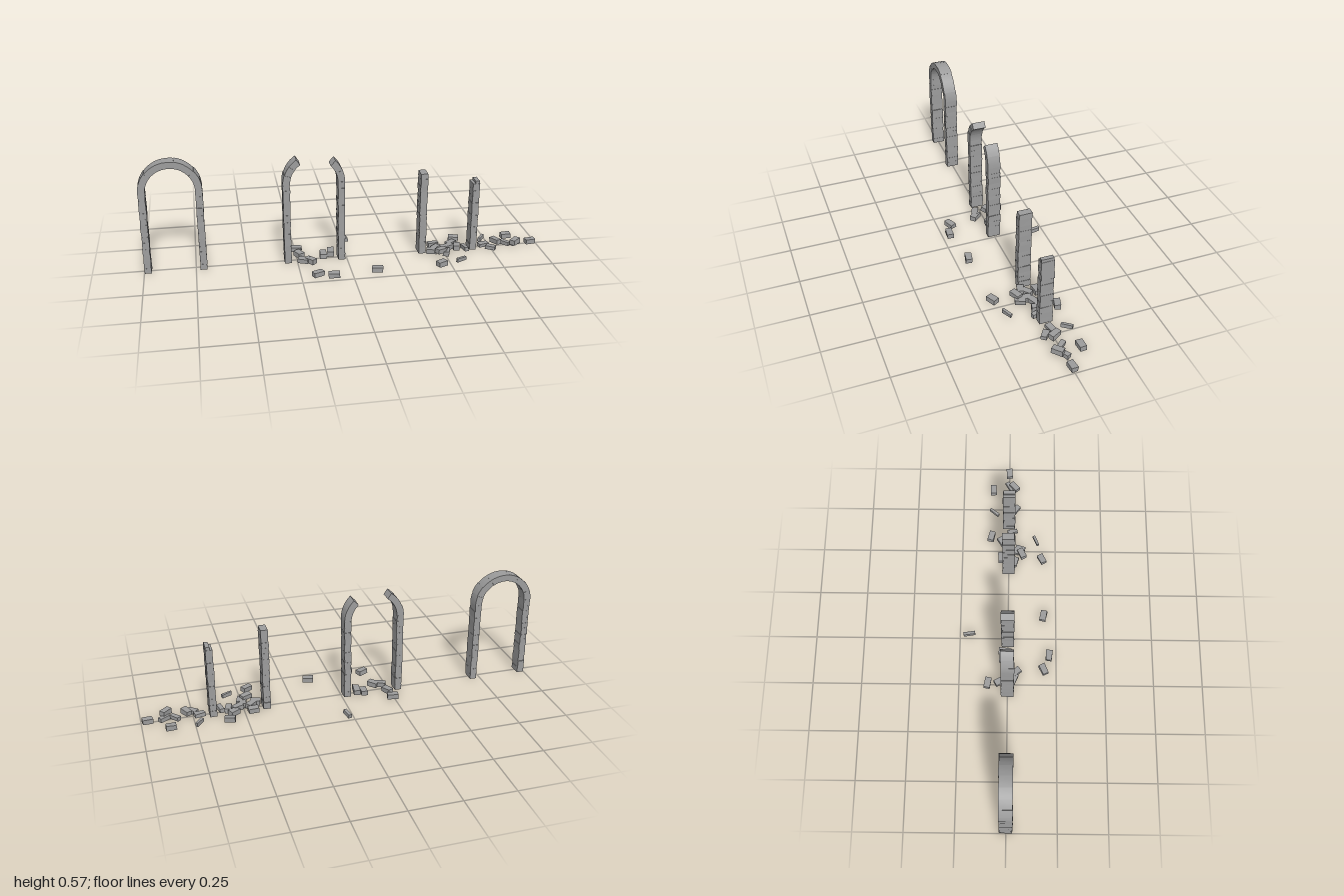
import * as THREE from 'three';
import { mergeGeometries } from 'three/addons/utils/BufferGeometryUtils.js';

const DEPTH = 0.064, SPRING = 0.42, OUTER = 0.152, INNER = 0.117;

// Small seeded random generator
function seeded(seed) {
  let s = seed;
  return () => (s = (s * 16807) % 2147483647) / 2147483647;
}

// Moves the vertices of a geometry by a rule
function warp(geo, rule) {
  const p = geo.attributes.position, v = new THREE.Vector3();
  for (let i = 0; i < p.count; i++) {
    rule(v.fromBufferAttribute(p, i));
    p.setXYZ(i, v.x, v.y, v.z);
  }
  geo.computeVertexNormals();
  return geo;
}

const keepAboveGround = v => { v.y = Math.max(v.y, 0); };

// Box whose eight corners are knocked slightly out of place
function roughBlock(w, h, d, rough, rand) {
  const offsets = Array.from({ length: 8 }, () =>
    new THREE.Vector3(rand() - 0.5, rand() - 0.5, rand() - 0.5).multiplyScalar(2 * rough));
  return warp(new THREE.BoxGeometry(w, h, d), v =>
    v.add(offsets[(v.x > 0 ? 1 : 0) + (v.y > 0 ? 2 : 0) + (v.z > 0 ? 4 : 0)]));
}

// Pier of stacked blocks with uneven courses
function pierGeometry(x, top, width, rand) {
  const courses = Math.round(top / 0.032), parts = [];
  let base = 0;
  for (let i = 1; i <= courses; i++) {
    const joint = i === courses ? top : (i + (rand() - 0.5) * 0.35) * top / courses;
    const block = roughBlock(width - 0.001, joint - base, DEPTH, 0.001, rand);
    block.translate(x + (rand() - 0.5) * 0.002, (base + joint) / 2, (rand() - 0.5) * 0.003 - 0.001);
    parts.push(warp(block, keepAboveGround));
    base = joint;
  }
  return mergeGeometries(parts);
}

// Curved run of wedge stones, from a larger to a smaller angle in degrees
function ringGeometry(cx, from, to, rand) {
  const count = Math.round((from - to) / 20), step = (to - from) / count, parts = [];
  for (let i = 0; i < count; i++) {
    const shift = (rand() - 0.5) * 0.004 - 0.001, swell = (rand() - 0.5) * 0.003;
    parts.push(warp(new THREE.BoxGeometry(1, 1, DEPTH, 3, 1, 1), v => {
      const t = THREE.MathUtils.degToRad(from + step * (i + 0.5 + v.x));
      const r = v.y > 0 ? OUTER + swell - 0.001 : INNER;
      v.set(cx + r * Math.cos(t), SPRING + r * Math.sin(t), v.z + shift);
    }));
  }
  return mergeGeometries(parts);
}

// Fallen stones by kind; each spot is x, z and turn in degrees
const middleRubble = [
  { size: [0.054, 0.025, 0.032], base: 0, spots: [
    [-0.243, -0.103, -10], [-0.235, -0.04, -62], [-0.22, 0.032, -25], [-0.185, 0.042, -48],
    [-0.168, 0.185, 25], [-0.093, 0.213, -5], [0.125, 0.184, -12], [-0.115, -0.016, 85]] },
  { size: [0.06, 0.02, 0.018], base: 0, spots: [[0.024, -0.202, -80]] },
  { size: [0.062, 0.026, 0.034], base: 0.012, spots: [[-0.078, -0.016, 82]] },
];
const rightRubble = [
  { size: [0.051, 0.026, 0.032], base: 0, spots: [
    [0.458, -0.04, 5], [0.435, 0.032, -15], [0.462, 0.008, 40], [0.498, 0.03, 75],
    [0.507, 0.06, 70], [0.452, 0.177, 28], [0.583, -0.095, -15], [0.553, -0.037, 30],
    [0.53, 0, 25], [0.575, 0.002, 75], [0.866, -0.088, 3], [0.969, 0, 5]] },
  { size: [0.052, 0.019, 0.03], base: 0, spots: [[0.718, -0.005, 12], [0.748, 0.035, -38]] },
  { size: [0.054, 0.022, 0.022], base: 0, spots: [
    [0.613, 0.018, -78], [0.835, -0.005, -50], [0.888, 0.002, 30]] },
  { size: [0.056, 0.02, 0.014], base: 0, spots: [[0.56, 0.145, 25], [0.73, -0.08, 52]] },
  { size: [0.054, 0.025, 0.03], base: 0.018, spots: [
    [0.475, 0.07, 25], [0.78, 0.003, -62], [0.878, 0.028, 42]] },
];

export function createModel() {
  const model = new THREE.Group();
  model.name = 'ruinedArches';
  const stone = new THREE.MeshStandardMaterial({ color: 0x9c9c9c });
  stone.name = 'grey stone';
  const rand = seeded(4711);

  const group = name => {
    const g = new THREE.Group();
    g.name = name;
    model.add(g);
    return g;
  };
  const add = (parent, name, geometry) => {
    const mesh = new THREE.Mesh(geometry, stone);
    mesh.name = name;
    parent.add(mesh);
  };
  const scatter = (parent, kinds) => {
    for (const { size: [length, height, width], base, spots } of kinds) {
      for (const [x, z, turn] of spots) {
        const block = roughBlock(length, height, width, 0.002, rand);
        block.rotateY(THREE.MathUtils.degToRad(turn));
        block.translate(x, base + height / 2, z);
        add(parent, 'fallenStone', warp(block, keepAboveGround));
      }
    }
  };

  // Two full piers carrying the given parts of a ring
  const mid = (OUTER + INNER) / 2, width = OUTER - INNER;
  const arch = (name, cx, rings) => {
    const g = group(name);
    add(g, 'rightPier', pierGeometry(cx - mid, SPRING, width, rand));
    add(g, 'leftPier', pierGeometry(cx + mid, SPRING, width, rand));
    for (const [part, from, to] of rings) add(g, part, ringGeometry(cx, from, to, rand));
    return g;
  };

  // Whole arch
  arch('wholeArch', -0.847, [['archRing', 180, 0]]);

  // Arch with its crown fallen out
  const broken = arch('brokenArch', -0.162, [['rightSpringer', 180, 124], ['leftSpringer', 46, 0]]);
  scatter(broken, middleRubble);

  // Collapsed arch, only uneven piers left
  const collapsed = group('collapsedArch');
  add(collapsed, 'rightPier', pierGeometry(0.387, 0.432, 0.037, rand));
  add(collapsed, 'leftPier', pierGeometry(0.654, 0.363, 0.035, rand));
  const stub = roughBlock(0.02, 0.016, 0.06, 0.001, rand);
  stub.translate(0.661, 0.37, 0);
  add(collapsed, 'leftPierStub', stub);
  scatter(collapsed, rightRubble);

  return model;
}
